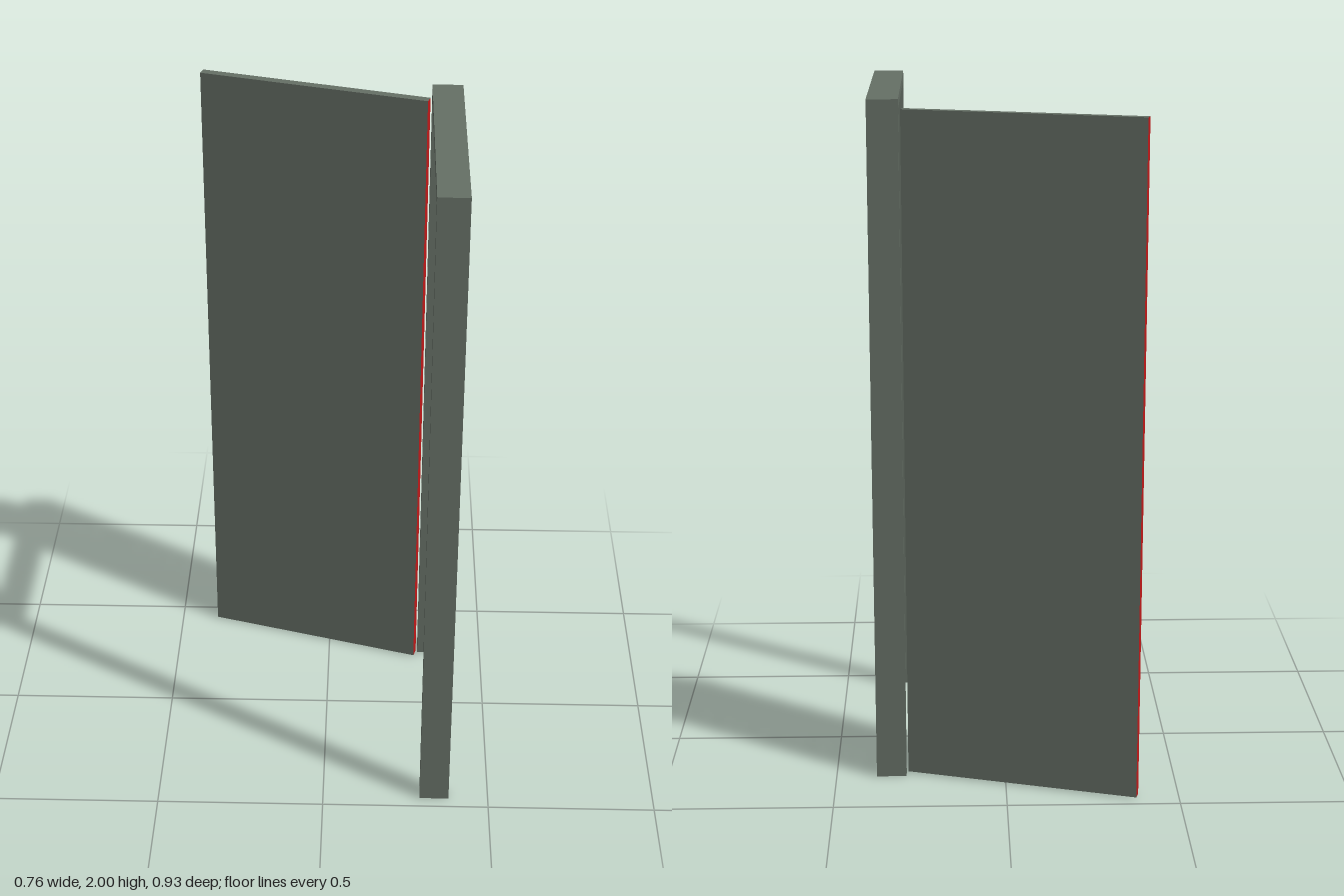
import * as THREE from 'three';

export function createModel() {
  const model = new THREE.Group();
  const paint = new THREE.MeshStandardMaterial({ color: 0x667066 });
  const red = new THREE.MeshStandardMaterial({ color: 0xc01818 });

  // Door frame: an upside-down U profile extruded through the wall depth
  const back = -0.293, front = 0.464, height = 2, thick = 0.027;
  const profile = new THREE.Shape([
    [-front, 0], [-front + thick, 0], [-front + thick, height - thick],
    [-back - thick, height - thick], [-back - thick, 0], [-back, 0],
    [-back, height], [-front, height],
  ].map(([u, v]) => new THREE.Vector2(u, v)));
  const frame = new THREE.Mesh(
    new THREE.ExtrudeGeometry(profile, { depth: 0.088, bevelEnabled: false }), paint);
  frame.name = 'doorFrame';
  frame.rotation.y = Math.PI / 2; // extrusion runs along +x
  frame.position.x = 0.293;
  model.add(frame);

  // Open door leaf with red hinge and latch edges
  const leafHeight = 1.966;
  const leaf = new THREE.Mesh(
    new THREE.BoxGeometry(0.692, leafHeight, thick),
    [red, red, paint, paint, paint, paint]);
  leaf.name = 'doorLeaf';
  leaf.position.set(-0.0475, 0.004 + leafHeight / 2, -0.354);
  leaf.rotation.y = -0.29;
  model.add(leaf);

  return model;
}
